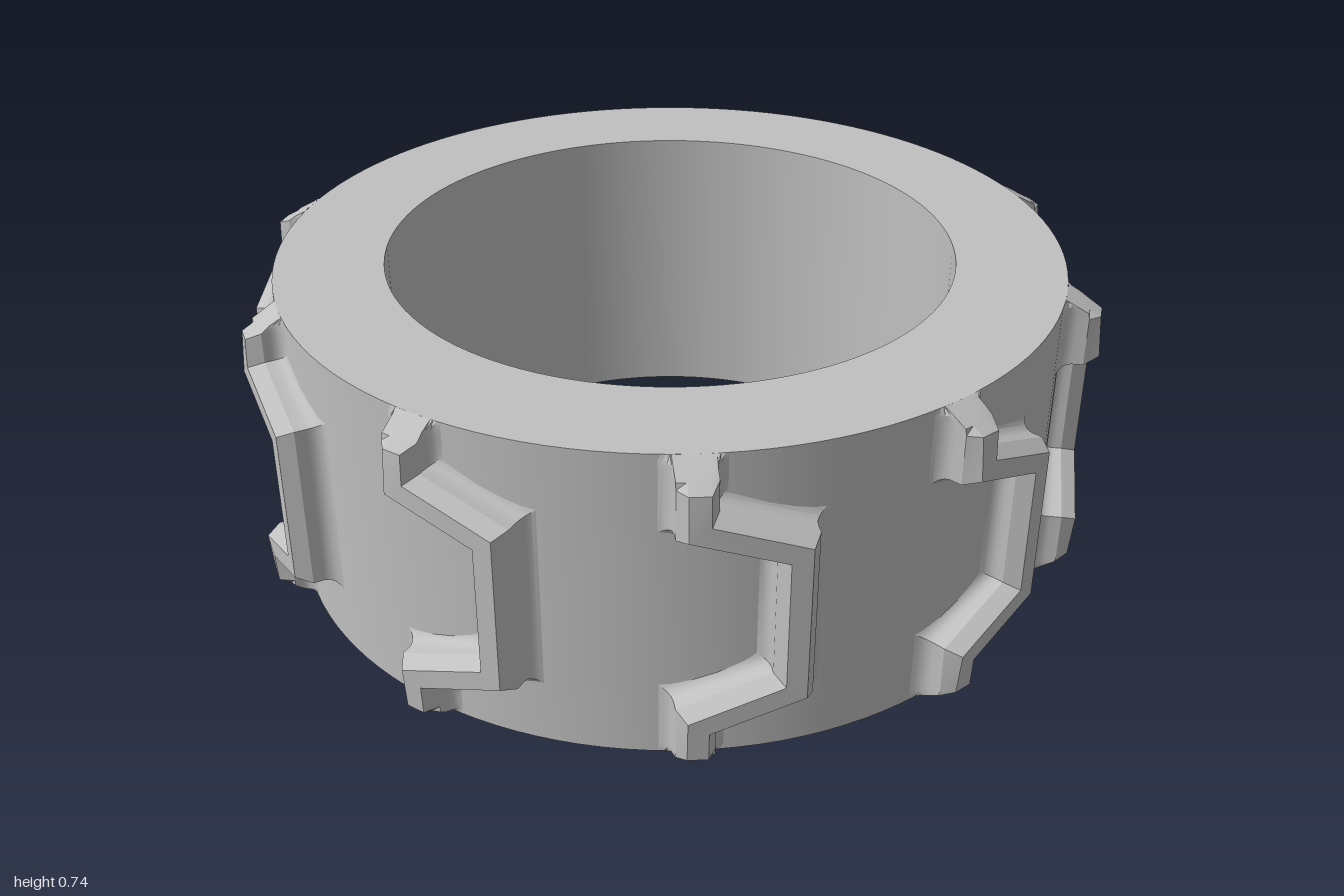
import * as THREE from 'three';
import { toCreasedNormals } from 'three/addons/utils/BufferGeometryUtils.js';

const H = 0.735, OUTER = 0.92, INNER = 0.667, TIP = 1.0;
const CHAMFER = 0.045, FILLET = 0.03, HALF = 0.042;

// Height of the ring surface at tangential position u
const ringAt = (u) => Math.sqrt(OUTER * OUTER - u * u);

// Half of the lug cross-section, from the fillet foot up to the flat tip.
// d = sideways offset, h = height above the ring, w = fixed distance from axis
function lugProfile() {
  const half = [];
  for (let k = 4; k >= 0; k--) {
    const a = (k / 4) * Math.PI / 2;
    half.push({ d: HALF + FILLET * (1 - Math.cos(a)), h: FILLET * (1 - Math.sin(a)) - (k === 4 ? 0.002 : 0) });
  }
  half.push({ d: HALF, w: 0.965 }, { d: 0.022, w: TIP });
  const left = half.map((p) => ({ ...p, d: -p.d }));
  return [...left, ...half.reverse()];
}

// Stepped tread bar swept along a zigzag, with chamfered ends
function lugGeometry() {
  const lower = [[-0.1, 0], [-0.1, 0.015], [-0.1, 0.03], [-0.1, CHAMFER], [-0.1, 0.13], [0.1, 0.2]];
  const upper = lower.map(([u, y]) => [u, H - y]).reverse();
  const path = [...lower, ...upper].map(([u, y]) => new THREE.Vector2(u, y));
  const profile = lugProfile(), n = profile.length;
  const side = (a, b) => {
    const t = b.clone().sub(a).normalize();
    return new THREE.Vector2(t.y, -t.x);
  };
  const pos = [], index = [];
  path.forEach((p, i) => {
    // mitred sideways direction
    const n1 = side(path[Math.max(i - 1, 0)], path[Math.max(i, 1)]);
    const last = path.length - 1;
    const n2 = side(path[Math.min(i, last - 1)], path[Math.min(i + 1, last)]);
    const m = n1.clone().add(n2).divideScalar(1 + n1.dot(n2));
    profile.forEach((q, j) => {
      const u = p.x + m.x * q.d, y = p.y + m.y * q.d;
      const base = ringAt(u);
      const limit = base + Math.min(y, H - y) * (TIP - OUTER) / CHAMFER;
      pos.push(u, y, Math.min(q.w ?? base + q.h, limit));
      if (i < last && j < n - 1) {
        const a = i * n + j;
        index.push(a, a + 1, a + n + 1, a, a + n + 1, a + n);
      }
    });
  });
  const g = new THREE.BufferGeometry();
  g.setAttribute('position', new THREE.Float32BufferAttribute(pos, 3));
  g.setIndex(index);
  return toCreasedNormals(g, 0.48);
}

export function createModel() {
  const group = new THREE.Group();
  group.name = 'tire';
  const grey = new THREE.MeshStandardMaterial({ color: 0xc0c0c0 });
  grey.name = 'grey';

  // Plain ring body
  const section = [[OUTER, 0], [OUTER, H], [INNER, H], [INNER, 0], [OUTER, 0]]
    .map(([r, y]) => new THREE.Vector2(r, y));
  const ring = new THREE.Mesh(toCreasedNormals(new THREE.LatheGeometry(section, 120), 0.5), grey);
  ring.name = 'tireBody';
  group.add(ring);

  // Ten tread lugs around the rim
  const geo = lugGeometry();
  for (let k = 0; k < 10; k++) {
    const lug = new THREE.Mesh(geo, grey);
    lug.name = `treadLug${k + 1}`;
    lug.rotation.y = (18 + 36 * k) * Math.PI / 180;
    group.add(lug);
  }
  return group;
}
